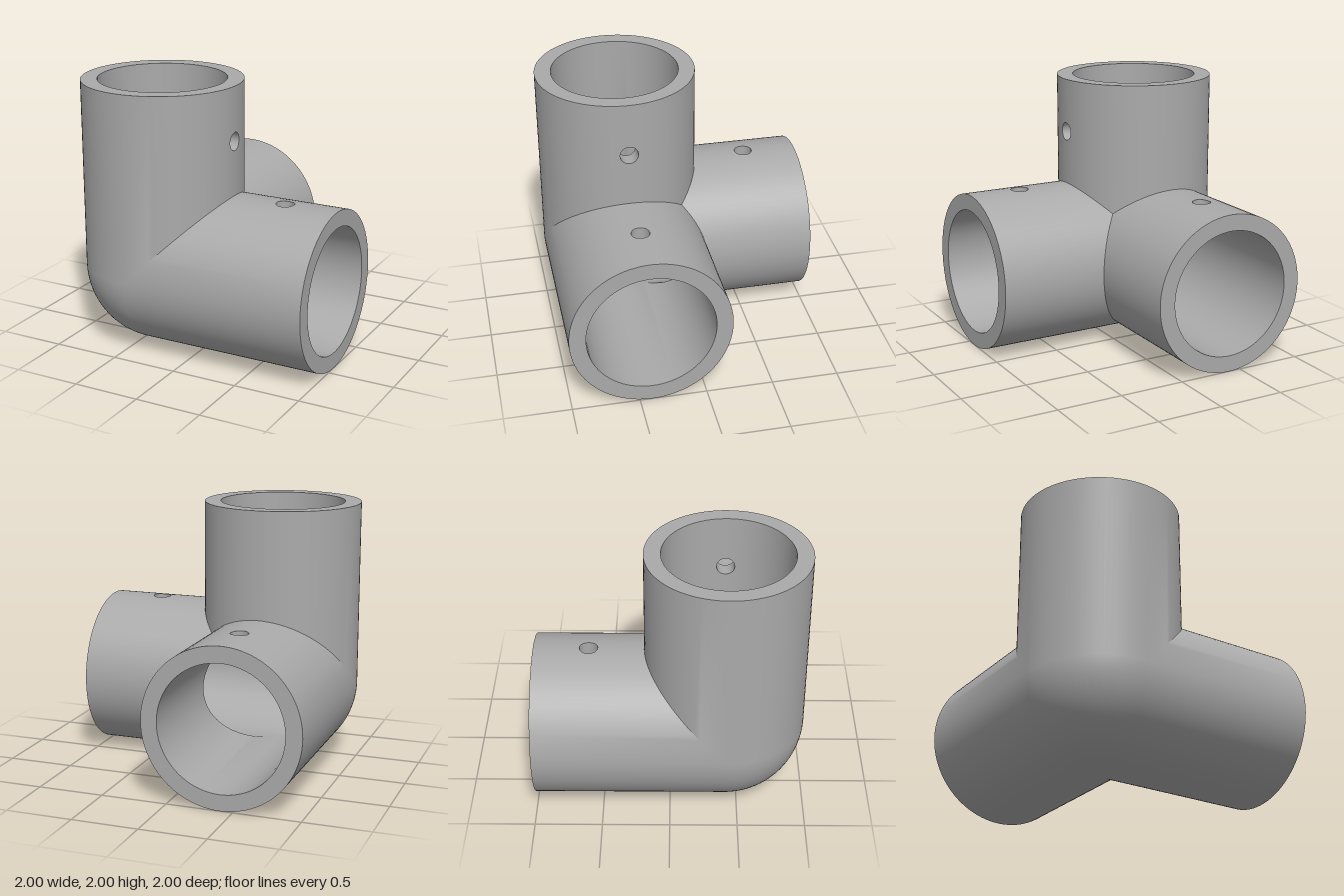
import * as THREE from 'three';

// Three-way corner pipe fitting: three equal tubes meeting at a rounded corner.
const R = 0.595, BORE = 0.473, END = 1.405; // outer radius, inner radius, arm length
const HOLE = 0.068, HOLE_AT = 1.0, PATCH = 0.1; // screw hole radius, position, half patch
const N = 96, P = 3; // segments round a tube, columns each side of the hole
const STEP = (Math.PI * 2) / N;

// Collects quads; each corner is { p, n }, and winding follows the normals.
function surface() {
  const pos = [], nor = [];
  const tri = (a, b, c) => {
    const face = b.p.clone().sub(a.p).cross(c.p.clone().sub(a.p));
    if (face.lengthSq() < 1e-16) return;
    const sum = a.n.clone().add(b.n).add(c.n);
    for (const k of face.dot(sum) < 0 ? [a, c, b] : [a, b, c]) {
      pos.push(k.p.x, k.p.y, k.p.z);
      nor.push(k.n.x, k.n.y, k.n.z);
    }
  };
  return {
    quad(a, b, c, d) { tri(a, b, c); tri(a, c, d); },
    geometry() {
      const g = new THREE.BufferGeometry();
      g.setAttribute('position', new THREE.Float32BufferAttribute(pos, 3));
      g.setAttribute('normal', new THREE.Float32BufferAttribute(nor, 3));
      return g;
    },
  };
}

// Frame of one arm: A along the tube, U towards its screw hole, V the third arm.
function makeArm(A, U, V) {
  const vec = (a, u, v) => new THREE.Vector3()
    .addScaledVector(A, a).addScaledVector(U, u).addScaledVector(V, v);
  const at = (r, t, a, side) => ({
    p: vec(a, r * Math.cos(t), r * Math.sin(t)),
    n: vec(0, Math.cos(t), Math.sin(t)).multiplyScalar(side),
  });

  // Mitred start of the tube, softened where the two tubes meet at a shallow angle
  const start = (r, t, side) => {
    const c = Math.cos(t), s = Math.sin(t), m = Math.max(c, s, 0);
    const k = at(r, t, r * m, side);
    const other = c >= s ? vec(c, 0, s) : vec(s, c, 0);
    other.multiplyScalar(side);
    if (m > 0 && k.n.dot(other) > 0.866) k.n.add(other).normalize();
    return k;
  };

  // Point on the rim of the screw hole
  const rim = (r, ang, side) =>
    at(r, Math.asin((HOLE * Math.sin(ang)) / r), HOLE_AT + HOLE * Math.cos(ang), side);

  // Perimeter of the patch round the hole, in steps of one column
  const perimeter = [];
  for (let i = -P; i < P; i++) perimeter.push([i, P]);
  for (let i = P; i > -P; i--) perimeter.push([P, i]);
  for (let i = P; i > -P; i--) perimeter.push([i, -P]);
  for (let i = -P; i < P; i++) perimeter.push([-P, i]);
  const loop = perimeter.map(([i, j]) => ({ i, j, ang: Math.atan2(i, j) }));

  const wall = (r, side) => {
    const s = surface();
    const lo = HOLE_AT - PATCH, hi = HOLE_AT + PATCH;
    for (let i = -N / 2; i < N / 2; i++) {
      const t0 = i * STEP, t1 = (i + 1) * STEP;
      const a = start(r, t0, side), b = start(r, t1, side);
      const ring = (x) => [at(r, t1, x, side), at(r, t0, x, side)];
      if (i >= -P && i < P) {
        s.quad(a, b, ...ring(lo));
        s.quad(at(r, t0, hi, side), at(r, t1, hi, side), ...ring(END));
      } else {
        s.quad(a, b, ...ring(END));
      }
    }
    loop.forEach((k, i) => {
      const m = loop[(i + 1) % loop.length];
      const edge = (q) => at(r, q.i * STEP, HOLE_AT + (q.j / P) * PATCH, side);
      s.quad(edge(k), edge(m), rim(r, m.ang, side), rim(r, k.ang, side));
    });
    return s.geometry();
  };

  // Flat ring closing the open end
  const end = surface();
  for (let i = 0; i < N; i++) {
    const k = (r, j) => ({ p: at(r, j * STEP, END, 1).p, n: A });
    end.quad(k(R, i), k(R, i + 1), k(BORE, i + 1), k(BORE, i));
  }

  // Lining of the screw hole, facing its own axis
  const lining = surface();
  loop.forEach((k, i) => {
    const m = loop[(i + 1) % loop.length];
    const c = (r, q) => ({ p: rim(r, q.ang, 1).p, n: vec(-Math.cos(q.ang), 0, -Math.sin(q.ang)) });
    lining.quad(c(R, k), c(R, m), c(BORE, m), c(BORE, k));
  });

  return {
    outerWall: wall(R, 1),
    boreWall: wall(BORE, -1),
    endRing: end.geometry(),
    screwHole: lining.geometry(),
  };
}

// One eighth of a sphere, closing the corner behind the three tubes
function cornerCap(r, inward) {
  const g = new THREE.SphereGeometry(r, N / 4, N / 4, 0, Math.PI / 2, Math.PI / 2, Math.PI / 2);
  if (inward) {
    g.setIndex(Array.from(g.index.array).reverse());
    const n = g.attributes.normal;
    for (let i = 0; i < n.count; i++) n.setXYZ(i, -n.getX(i), -n.getY(i), -n.getZ(i));
  }
  return g;
}

export function createModel() {
  const model = new THREE.Group();
  model.name = 'cornerPipeFitting';
  const grey = new THREE.MeshStandardMaterial({ color: 0xaaaaaa });
  grey.name = 'grey';
  const add = (parent, name, geometry) => {
    const mesh = new THREE.Mesh(geometry, grey);
    mesh.name = name;
    parent.add(mesh);
  };

  const X = new THREE.Vector3(1, 0, 0);
  const Y = new THREE.Vector3(0, 1, 0);
  const B = new THREE.Vector3(0, 0, -1);
  const arms = { leftArm: [X, Y, B], upperArm: [Y, X, B], backArm: [B, Y, X] };
  for (const [name, frame] of Object.entries(arms)) {
    const arm = new THREE.Group();
    arm.name = name;
    for (const [part, g] of Object.entries(makeArm(...frame))) add(arm, part, g);
    model.add(arm);
  }

  add(model, 'outerCorner', cornerCap(R, false));
  add(model, 'innerCorner', cornerCap(BORE, true));

  // Put the corner so the fitting stands on the ground and is centred
  for (const part of model.children) part.position.set(R - 1, R, 1 - R);
  return model;
}
